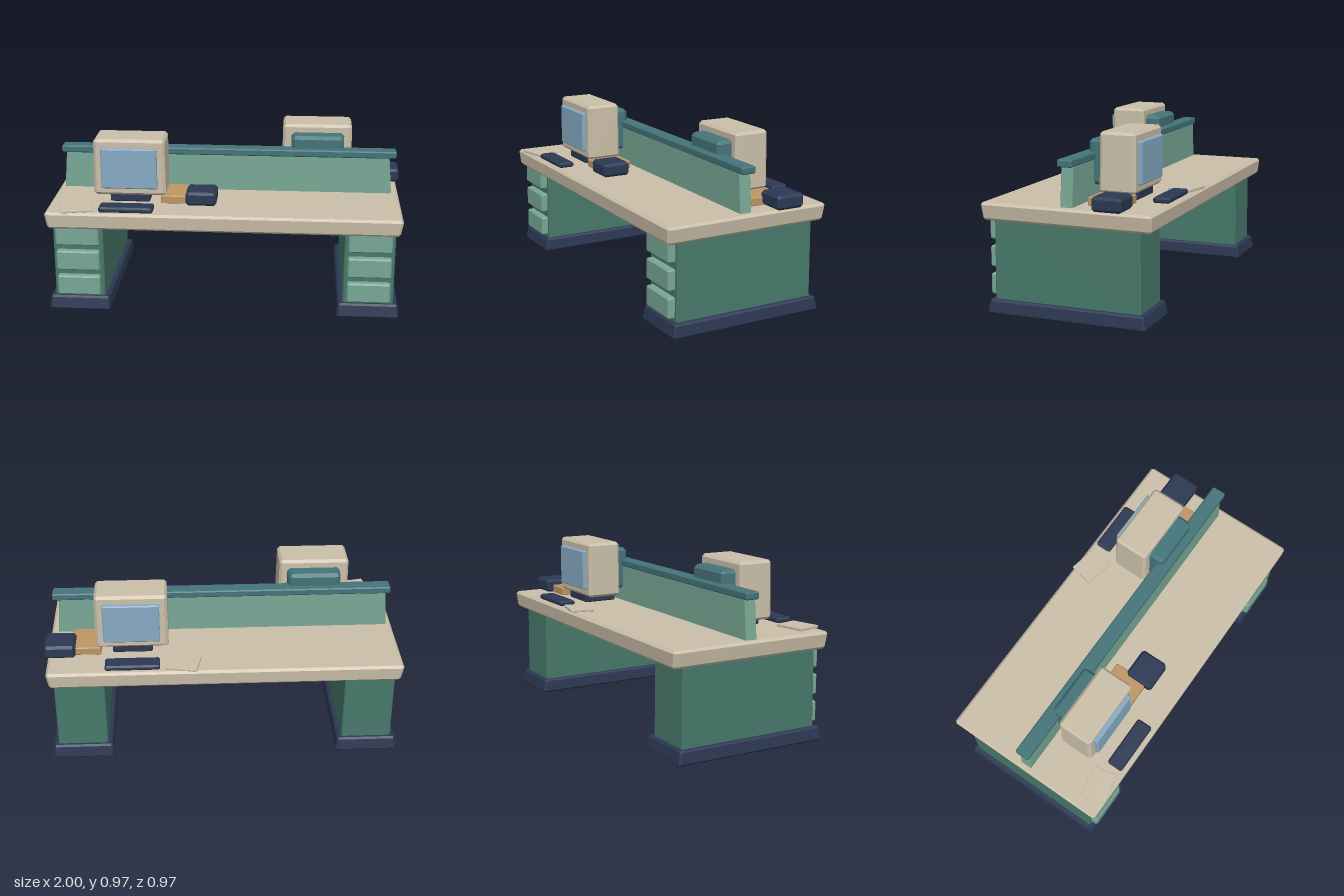
import * as THREE from 'three';
import { ConvexGeometry } from 'three/addons/geometries/ConvexGeometry.js';

const paint = (name, color) => Object.assign(new THREE.MeshStandardMaterial({ color }), { name });

export function createModel() {
  const beige = paint('beige', 0xcbbfa9);
  const darkGreen = paint('dark green', 0x47796a);
  const lightGreen = paint('light green', 0x78a895);
  const teal = paint('teal', 0x44747a);
  const navy = paint('navy', 0x2c3953);
  const blue = paint('screen blue', 0x86abc5);
  const tan = paint('tan', 0xbe9663);

  // Chamfered box between two corners. `taper` scales the top, `base` the bottom,
  // `rear` the -z end (all about the box centre).
  function block(parent, name, mat, x, y, z, c, { taper = 1, base = 1, rear = 1 } = {}) {
    const half = [x, y, z].map(([a, b]) => (b - a) / 2);
    const points = [];
    for (const sx of [-1, 1]) for (const sy of [-1, 1]) for (const sz of [-1, 1]) {
      for (let axis = 0; axis < 3; axis++) {
        const p = [sx, sy, sz].map((s, i) => s * (half[i] - (i === axis ? 0 : c)));
        const k = sy > 0 ? taper : base;
        const r = sz < 0 ? rear : 1;
        points.push(new THREE.Vector3(p[0] * k * r, p[1] * r, p[2] * k));
      }
    }
    const mesh = new THREE.Mesh(new ConvexGeometry(points), mat);
    mesh.position.set((x[0] + x[1]) / 2, (y[0] + y[1]) / 2, (z[0] + z[1]) / 2);
    mesh.name = name;
    parent.add(mesh);
    return mesh;
  }

  const model = new THREE.Group();
  model.name = 'doubleDesk';

  // Desk top and the divider down its middle
  block(model, 'deskTop', beige, [-1, 0.98], [0.505, 0.602], [-0.482, 0.482], 0.013, { base: 0.988 });
  block(model, 'dividerPanel', lightGreen, [-0.97, 0.94], [0.59, 0.82], [-0.034, 0.034], 0.004, { taper: 0.98 });
  block(model, 'dividerCap', teal, [-0.977, 0.96], [0.813, 0.853], [-0.041, 0.041], 0.006);

  // Two drawer pedestals
  for (const [side, cx] of [['right', -0.828], ['left', 0.808]]) {
    const pedestal = new THREE.Group();
    pedestal.name = side + 'Pedestal';
    pedestal.position.x = cx;
    model.add(pedestal);
    block(pedestal, 'plinth', navy, [-0.173, 0.173], [0, 0.08], [-0.45, 0.45], 0.01, { taper: 0.975 });
    block(pedestal, 'cabinet', darkGreen, [-0.142, 0.142], [0.07, 0.512], [-0.416, 0.416], 0.006, { taper: 0.99 });
    [0.095, 0.246, 0.397].forEach((y, i) =>
      block(pedestal, 'drawer' + (i + 1), lightGreen, [-0.121, 0.121], [y, y + 0.115], [0.405, 0.453], 0.008));
  }

  // One workstation, facing +z
  function workstation(name) {
    const g = new THREE.Group();
    g.name = name;
    block(g, 'monitorCase', beige, [-0.75, -0.342], [0.645, 0.97], [0.081, 0.287], 0.015, { taper: 0.98 });
    block(g, 'screen', blue, [-0.703, -0.388], [0.69, 0.923], [0.275, 0.308], 0.006);
    block(g, 'monitorRear', teal, [-0.695, -0.39], [0.675, 0.925], [0, 0.1], 0.018, { rear: 0.98 });
    block(g, 'monitorStand', navy, [-0.66, -0.435], [0.6, 0.655], [0.07, 0.27], 0.008);
    block(g, 'keyboard', navy, [-0.7, -0.397], [0.6, 0.632], [0.364, 0.458], 0.009);
    block(g, 'tray', tan, [-0.37, -0.202], [0.6, 0.648], [0.082, 0.287], 0.005);
    block(g, 'deskBox', navy, [-0.227, -0.055], [0.603, 0.681], [0.162, 0.326], 0.014);
    const paper = block(g, 'paper', beige, [-0.918, -0.742], [0.602, 0.617], [0.332, 0.47], 0.002);
    paper.position.x = -0.83;
    paper.rotation.y = 0.21;
    return g;
  }
  model.add(workstation('frontWorkstation'));

  // The rear workstation is the front one mirrored in z and shifted along the desk
  const rear = workstation('rearWorkstation');
  rear.scale.z = -1;
  rear.position.x = 1.052;
  model.add(rear);

  return model;
}
